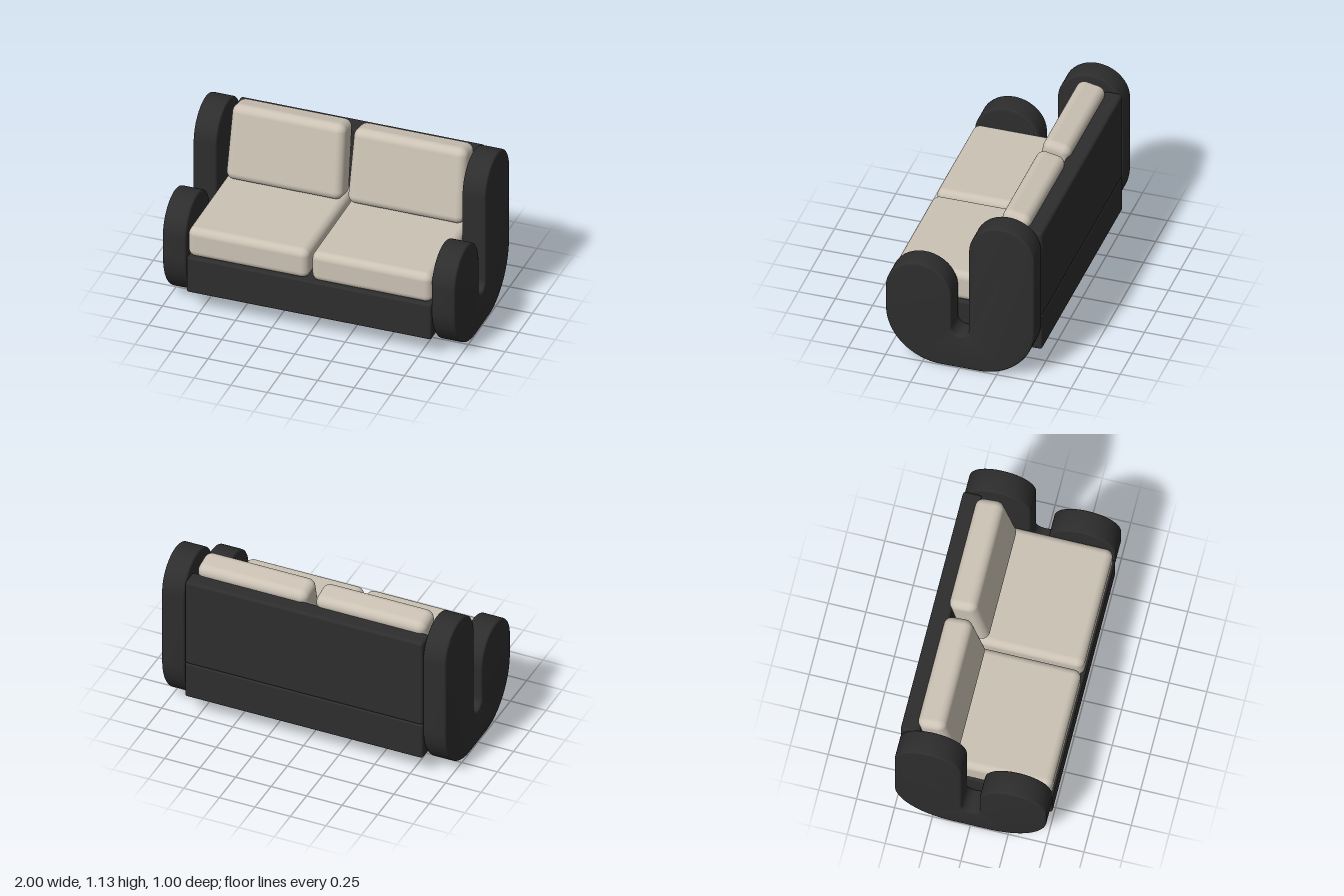
import * as THREE from 'three';
import { toCreasedNormals } from 'three/addons/utils/BufferGeometryUtils.js';
import { RoundedBoxGeometry } from 'three/addons/geometries/RoundedBoxGeometry.js';

export function createModel() {
  const sofa = new THREE.Group();
  sofa.name = 'sofa';

  const dark = new THREE.MeshStandardMaterial({ color: 0x2d2d2d });
  dark.name = 'charcoal upholstery';
  const cream = new THREE.MeshStandardMaterial({ color: 0xcbc2b4 });
  cream.name = 'cream fabric';

  function add(name, geometry, material, x, y, z) {
    const mesh = new THREE.Mesh(geometry, material);
    mesh.name = name;
    mesh.position.set(x, y, z);
    sofa.add(mesh);
    return mesh;
  }

  // J-shaped side profile: shape x is depth (front positive), shape y is height
  const profile = new THREE.Shape();
  profile.moveTo(-0.12, 0);
  profile.lineTo(0.12, 0);
  profile.absarc(0.125, 0.375, 0.375, -Math.PI / 2, 0, false);
  profile.lineTo(0.5, 0.53);
  profile.absarc(0.28, 0.53, 0.22, 0, Math.PI, false);
  profile.lineTo(0.06, 0.305);
  profile.absarc(0, 0.305, 0.06, 0, -Math.PI, true);
  profile.lineTo(-0.06, 0.91);
  profile.absarc(-0.28, 0.91, 0.22, 0, Math.PI, false);
  profile.lineTo(-0.5, 0.375);
  profile.absarc(-0.125, 0.375, 0.375, Math.PI, Math.PI * 1.5, false);

  const bevel = 0.012, armWidth = 0.16;
  let arm = new THREE.ExtrudeGeometry(profile, {
    depth: armWidth - 2 * bevel,
    curveSegments: 16,
    bevelThickness: bevel,
    bevelSize: bevel,
    bevelOffset: -bevel,
    bevelSegments: 3,
  });
  arm.translate(0, 0, bevel - armWidth / 2);
  arm.rotateY(-Math.PI / 2);
  arm = toCreasedNormals(arm, 0.6);

  // Frame: base box and back panel between the arms
  add('base', new RoundedBoxGeometry(1.675, 0.262, 1.0, 3, 0.015), dark, 0, 0.271, 0);
  add('backPanel', new RoundedBoxGeometry(1.675, 0.64, 0.125, 3, 0.02), dark, 0, 0.72, -0.44);

  // Back cushion narrows slightly towards the top
  const backCushion = new RoundedBoxGeometry(0.8, 0.52, 0.19, 5, 0.055);
  const p = backCushion.attributes.position;
  for (let i = 0; i < p.count; i++) p.setX(i, p.getX(i) * (1 - 0.06 * (p.getY(i) + 0.26)));

  const seatCushion = new RoundedBoxGeometry(0.825, 0.213, 0.88, 5, 0.05);

  for (const [side, s] of [['left', 1], ['right', -1]]) {
    add(side + 'Arm', arm, dark, s * 0.92, 0, 0);
    add(side + 'SeatCushion', seatCushion, cream, s * 0.423, 0.507, 0.053);
    add(side + 'BackCushion', backCushion, cream, s * 0.416, 0.866, -0.27).rotation.x = -0.19;
  }
  return sofa;
}
